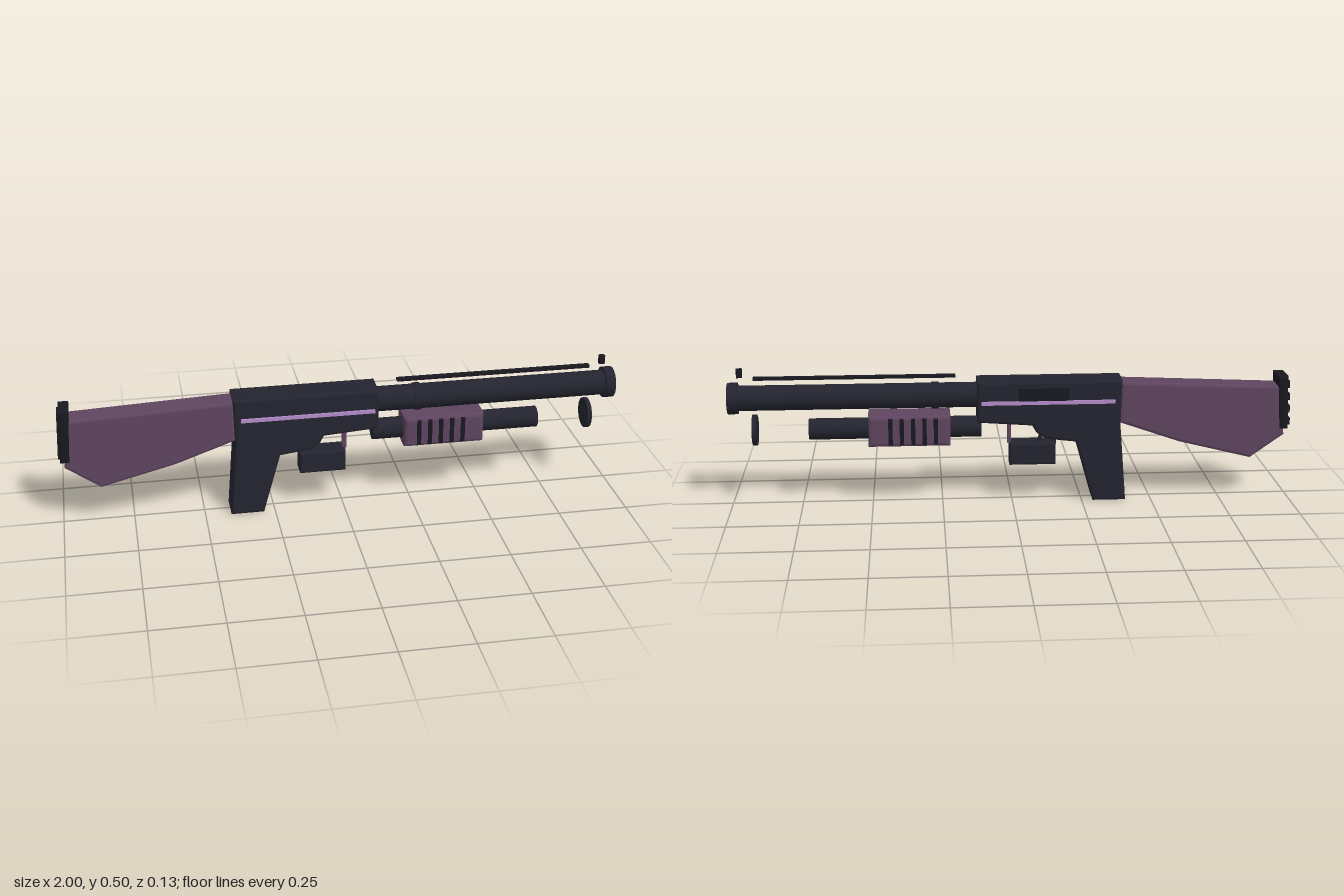
import * as THREE from 'three';

const mat = (name, color) => Object.assign(new THREE.MeshStandardMaterial({ color }), { name });

export function createModel() {
  const group = new THREE.Group();
  const metal = mat('dark metal', 0x23242f);
  const black = mat('black rubber', 0x181820);
  const purple = mat('purple grip', 0x5f4560);
  const lilac = mat('lilac trim', 0xb48cca);

  const add = (name, geometry, material, x = 0, y = 0, z = 0) => {
    const mesh = new THREE.Mesh(geometry, material);
    mesh.name = name;
    mesh.position.set(x, y, z);
    group.add(mesh);
    return mesh;
  };

  // Bevelled slab cut from a side profile, centred on z = 0
  const slab = (points, halfWidth, bevel) => {
    const shape = new THREE.Shape(points.map(([x, y]) => new THREE.Vector2(x, y)));
    const depth = 2 * (halfWidth - bevel);
    return new THREE.ExtrudeGeometry(shape, {
      depth, bevelThickness: bevel, bevelSize: bevel, bevelOffset: -bevel, bevelSegments: 2,
    }).translate(0, 0, -depth / 2);
  };
  const block = (x0, x1, y0, y1, halfWidth, bevel) =>
    slab([[x0, y0], [x1, y0], [x1, y1], [x0, y1]], halfWidth, bevel);

  // Cylinder lying along x
  const rod = (name, x0, x1, y, r, material, sides = 16) => add(name,
    new THREE.CylinderGeometry(r, r, x1 - x0, sides).rotateZ(-Math.PI / 2),
    material, (x0 + x1) / 2, y);

  // Receiver and pistol grip in one profile
  add('receiver', slab([
    [-0.39, 0.45], [-0.385, 0.29], [-0.408, 0.004], [-0.29, 0.004], [-0.228, 0.225],
    [-0.12, 0.238], [-0.085, 0.262], [-0.07, 0.288], [0.125, 0.302], [0.125, 0.45],
  ], 0.058, 0.009), metal);

  // Shoulder stock
  add('stock', slab([
    [-0.385, 0.44], [-0.96, 0.415], [-0.98, 0.235], [-0.86, 0.15], [-0.6, 0.215], [-0.385, 0.29],
  ], 0.046, 0.01), purple);

  // Butt pad with rear ridges
  add('buttPad', slab([
    [-0.985, 0.453], [-0.993, 0.257], [-0.96, 0.257], [-0.949, 0.453],
  ], 0.05, 0.008), black);
  for (let i = 0; i < 4; i++) {
    add('buttPadRidge', new THREE.BoxGeometry(0.014, 0.025, 0.085), black, -0.992 + i * 0.002, 0.285 + i * 0.045);
  }

  // Barrel group
  rod('barrel', 0.12, 0.97, 0.393, 0.045, metal);
  rod('barrelRing', 0.26, 0.285, 0.393, 0.049, metal);
  rod('muzzle', 0.965, 1, 0.393, 0.056, metal);
  rod('magazineTube', 0.11, 0.72, 0.276, 0.038, metal);
  rod('frontDisc', 0.902, 0.918, 0.276, 0.055, metal);
  add('topRib', new THREE.BoxGeometry(0.71, 0.01, 0.02), black, 0.555, 0.463);
  add('frontSight', block(0.947, 0.967, 0.468, 0.5, 0.011, 0.003), black);

  // Pump handle with dark grip ribs
  add('pump', block(0.22, 0.51, 0.22, 0.332, 0.06, 0.012), purple);
  for (const side of [-1, 1]) {
    for (let i = 0; i < 5; i++) {
      add('pumpRib', new THREE.BoxGeometry(0.015, 0.095, 0.008), black, 0.272 + i * 0.04, 0.276, side * 0.06);
    }
    // Side trim
    add('sideStripe', new THREE.BoxGeometry(0.475, 0.013, 0.008), lilac, -0.127, 0.374, side * 0.061);
  }

  // Ejection port on the far side
  add('ejectionPort', new THREE.BoxGeometry(0.18, 0.045, 0.008), black, -0.11, 0.403, -0.059);

  // Lower housing, front strut and trigger
  add('lowerHousing', block(-0.155, 0.01, 0.138, 0.218, 0.04, 0.007), metal);
  add('guardStrut', new THREE.BoxGeometry(0.013, 0.085, 0.025), purple, 0.01, 0.257);
  add('guardRearStrut', new THREE.BoxGeometry(0.012, 0.04, 0.025), metal, -0.152, 0.228);
  const triggerCurve = new THREE.QuadraticBezierCurve3(
    new THREE.Vector3(-0.1, 0.255, 0), new THREE.Vector3(-0.11, 0.23, 0), new THREE.Vector3(-0.092, 0.212, 0));
  add('trigger', new THREE.TubeGeometry(triggerCurve, 6, 0.008, 6), metal);

  return group;
}
